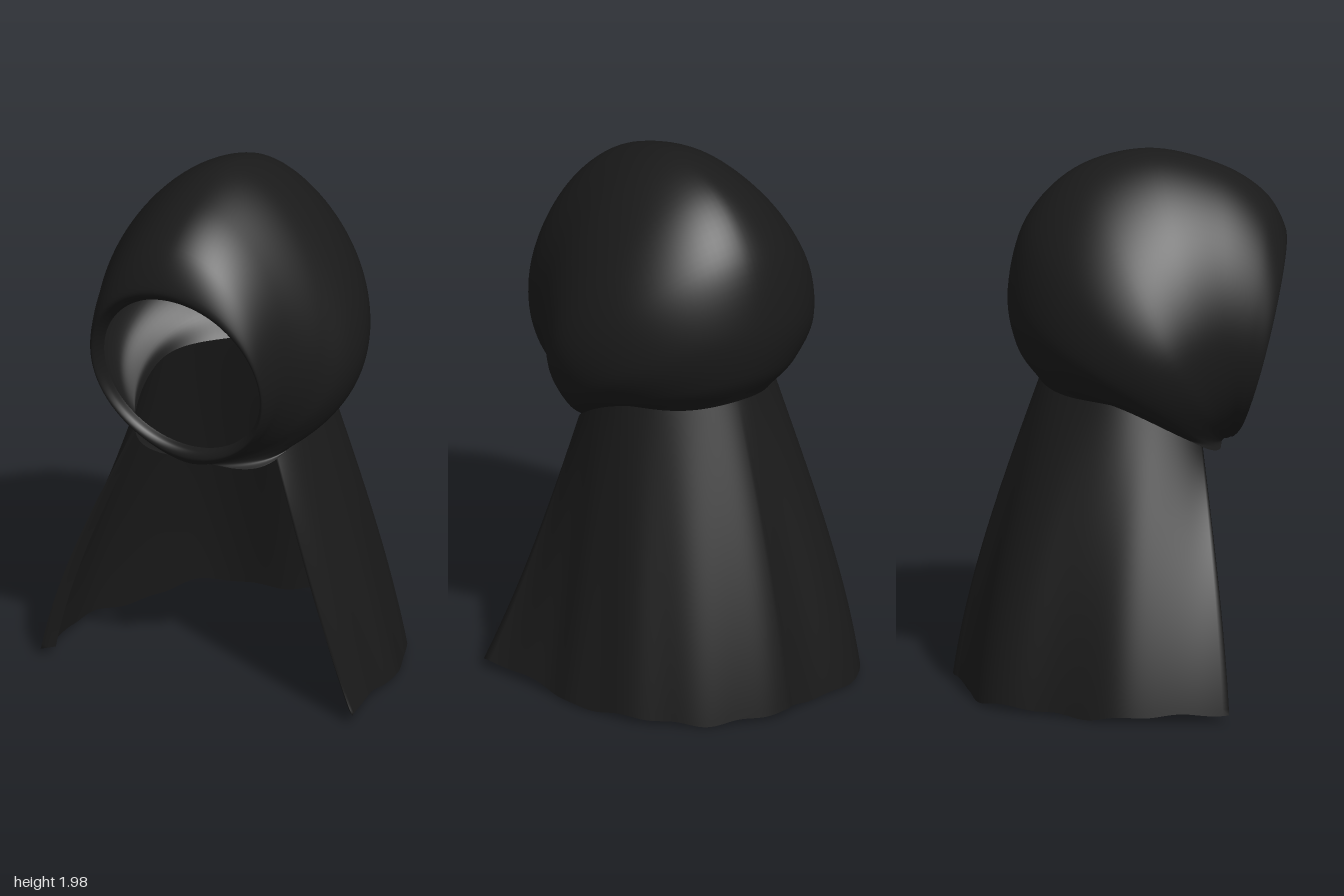
import * as THREE from 'three';

const cloth = new THREE.MeshStandardMaterial({ color: 0x1a1a1a, side: THREE.DoubleSide });
const lerp = THREE.MathUtils.lerp;

// Smooth sheet from point(u, v); columns wrap round when closed
function sheet(name, nu, nv, closed, point) {
  const cols = closed ? nu : nu + 1;
  const positions = [], index = [];
  for (let j = 0; j <= nv; j++)
    for (let i = 0; i < cols; i++) positions.push(...point(i / nu, j / nv));
  for (let j = 0; j < nv; j++)
    for (let i = 0; i < nu; i++) {
      const a = j * cols + i, b = j * cols + (i + 1) % cols;
      index.push(a, a + cols, b, b, a + cols, b + cols);
    }
  const geometry = new THREE.BufferGeometry();
  geometry.setAttribute('position', new THREE.Float32BufferAttribute(positions, 3));
  geometry.setIndex(index);
  geometry.computeVertexNormals();
  const mesh = new THREE.Mesh(geometry, cloth);
  mesh.name = name;
  return mesh;
}

// Hood loops hinge at the chin, from the face opening over the crown to the neck:
// [crown y, crown z, chin y, chin z, half width, taper towards the crown, pinch at the chin]
const loops = [
  [1.625, 0.54, 0.99, 0.39, 0.32, 0, 1],
  [1.64, 0.575, 0.98, 0.415, 0.33, 0, 1],
  [1.69, 0.605, 0.955, 0.425, 0.35, 0.02, 1.05],
  [1.83, 0.53, 0.93, 0.41, 0.37, 0.08, 1.15],
  [1.94, 0.36, 0.925, 0.40, 0.40, 0.12, 1.25],
  [2.00, 0.10, 0.92, 0.39, 0.455, 0.16, 1.35],
  [1.93, -0.16, 0.92, 0.385, 0.505, 0.18, 1.45],
  [1.74, -0.34, 0.92, 0.38, 0.51, 0.12, 1.35],
  [1.48, -0.405, 0.92, 0.375, 0.47, 0.05, 1.15],
  [1.28, -0.375, 0.92, 0.37, 0.39, 0.04, 0.8],
  [1.15, -0.29, 0.92, 0.365, 0.335, 0.08, 0.45],
];
const spline = (pick) => new THREE.CatmullRomCurve3(
  loops.map((l) => new THREE.Vector3(...pick(l))), false, 'catmullrom', 0.5);
const crownCurve = spline((l) => [l[4], l[0], l[1]]);
const chinCurve = spline((l) => [l[6], l[2], l[3]]);
const taperCurve = spline((l) => [l[5], 0, 0]);

// Angle 0 is the crown side of a loop, PI the chin
function hoodPoint(angle, v) {
  const crown = crownCurve.getPoint(v), chin = chinCurve.getPoint(v);
  const c = Math.cos(angle), s = Math.sin(angle), k = taperCurve.getPoint(v).x;
  const power = c > 0 ? 1 + 0.7 * k : chin.x;
  const x = crown.x * Math.sign(s) * Math.abs(s) ** power * (1 - k * c);
  const m = (1 + c) / 2;
  return [x, lerp(chin.y, crown.y, m) + 0.07 * s ** 4 * v ** 8, lerp(chin.z, crown.z, m)];
}

// Cape hangs from the neck loop, flares to a wavy hem and stays open in front
function capePoint(u, t) {
  const e = u * 2 - 1;
  const side = THREE.MathUtils.clamp(e / 0.975, -1, 1);
  const [nx, ny, nz] = hoodPoint(side * 2.45, 1);
  const h = side * 2.1;
  // deeper folds on the right, a sharper front flap on the left
  const r = 0.6 + (side < 0
    ? 0.14 * side ** 7 * -1 + 0.03 * (1 - 0.8 * side ** 2) * Math.cos(6.8 * (h + 0.67))
    : 0.18 * side ** 10 - 0.02 * side + 0.005 * Math.sin(14 * h));
  const hemY = 0.028 + 0.025 * side ** 8
    + 0.008 * Math.sin(7 * h + 1) + 0.005 * Math.sin(17 * h + 2);
  const flare = t + (0.25 - 0.4 * Math.max(0, side) ** 2) * (t - t ** 3);
  let x = lerp(nx, r * Math.sin(h), flare);
  let z = lerp(nz, -r * Math.cos(h), flare);
  // front edges turn inwards
  const tuck = Math.max(0, Math.abs(e) - 0.975) / 0.025;
  x *= 1 - 0.06 * tuck;
  z -= 0.045 * tuck;
  return [x, lerp(ny, hemY, t), z];
}

export function createModel() {
  const group = new THREE.Group();
  group.name = 'hoodedCape';
  group.add(sheet('hood', 96, 80, true, (u, v) => hoodPoint(u * Math.PI * 2, v)));
  group.add(sheet('cape', 160, 40, false, capePoint));
  return group;
}
